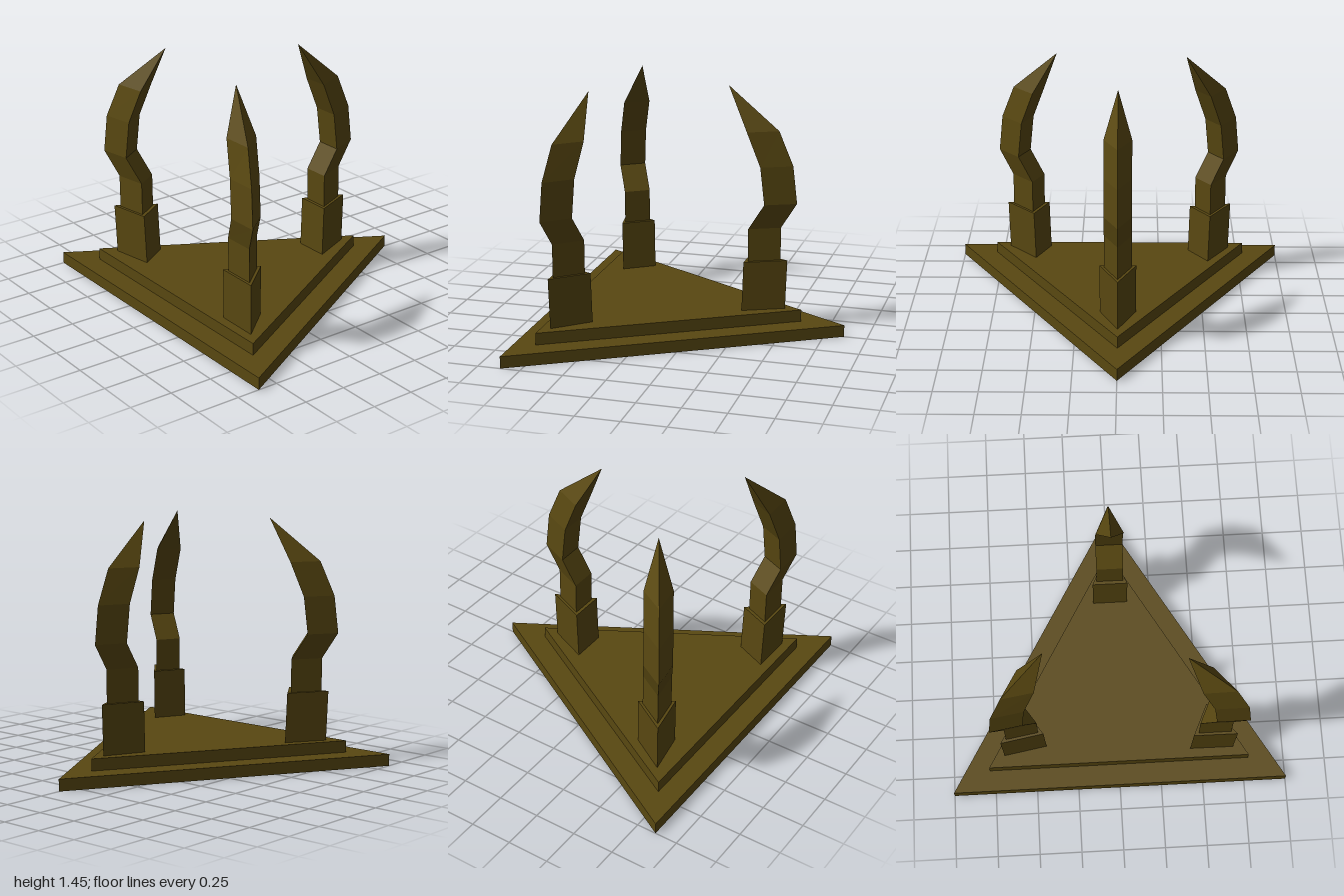
import * as THREE from 'three';

// Lofts triangular cross-sections: each ring is [y, flat side z, apex z, half width]
function loftTriangles(rings) {
  const pos = [];
  const pts = rings.map(([y, zFlat, zApex, w]) => [
    [0, y, zApex], [-w, y, zFlat], [w, y, zFlat],
  ]);
  const tri = (...corners) => corners.forEach((c) => pos.push(...c));
  for (let r = 0; r < pts.length - 1; r++) {
    const lo = pts[r], hi = pts[r + 1];
    for (let i = 0; i < 3; i++) {
      const j = (i + 1) % 3;
      tri(lo[i], lo[j], hi[j]);
      // a ring of zero width is a point, so it needs no second triangle
      if (rings[r + 1][3] > 0) tri(lo[i], hi[j], hi[i]);
    }
  }
  const bottom = pts[0], top = pts[pts.length - 1];
  tri(bottom[0], bottom[2], bottom[1]);
  if (rings[rings.length - 1][3] > 0) tri(...top);
  const geo = new THREE.BufferGeometry();
  geo.setAttribute('position', new THREE.Float32BufferAttribute(pos, 3));
  geo.computeVertexNormals();
  return geo;
}

export function createModel() {
  const model = new THREE.Group();
  model.name = 'hornedTriangleStand';
  const bronze = new THREE.MeshStandardMaterial({ name: 'dark bronze', color: 0x594811, flatShading: true });

  const add = (parent, name, geo) => {
    const mesh = new THREE.Mesh(geo, bronze);
    mesh.name = name;
    parent.add(mesh);
  };

  // Two stacked triangular slabs
  add(model, 'lowerSlab', loftTriangles([[0, 0.866, -0.866, 1], [0.07, 0.866, -0.866, 1]]));
  add(model, 'upperSlab', loftTriangles([[0.07, 0.74, -0.61, 0.78], [0.14, 0.74, -0.61, 0.78]]));

  // Horn and its slightly leaning pedestal, measured from the tip, curving towards +z
  const pedestal = loftTriangles([[0.14, -0.11, -0.345, 0.105], [0.435, -0.12, -0.355, 0.105]]);
  const horn = loftTriangles([
    [0.435, -0.14, -0.315, 0.08],
    [0.63, -0.14, -0.315, 0.08],
    [0.78, -0.233, -0.407, 0.08],
    [1.0, -0.208, -0.382, 0.08],
    [1.2, -0.128, -0.298, 0.08],
    [1.45, 0, 0, 0],
  ]);

  // One horn per corner: tip x, tip z, turn in degrees
  const corners = [
    ['back', 0, -0.167, 0],
    ['frontRight', -0.399, 0.475, 124.2],
    ['frontLeft', 0.374, 0.543, -114.4],
  ];
  for (const [name, x, z, turn] of corners) {
    const group = new THREE.Group();
    group.name = name + 'Pillar';
    add(group, name + 'Pedestal', pedestal);
    add(group, name + 'Horn', horn);
    group.position.set(x, 0, z);
    group.rotation.y = THREE.MathUtils.degToRad(turn);
    model.add(group);
  }
  return model;
}
